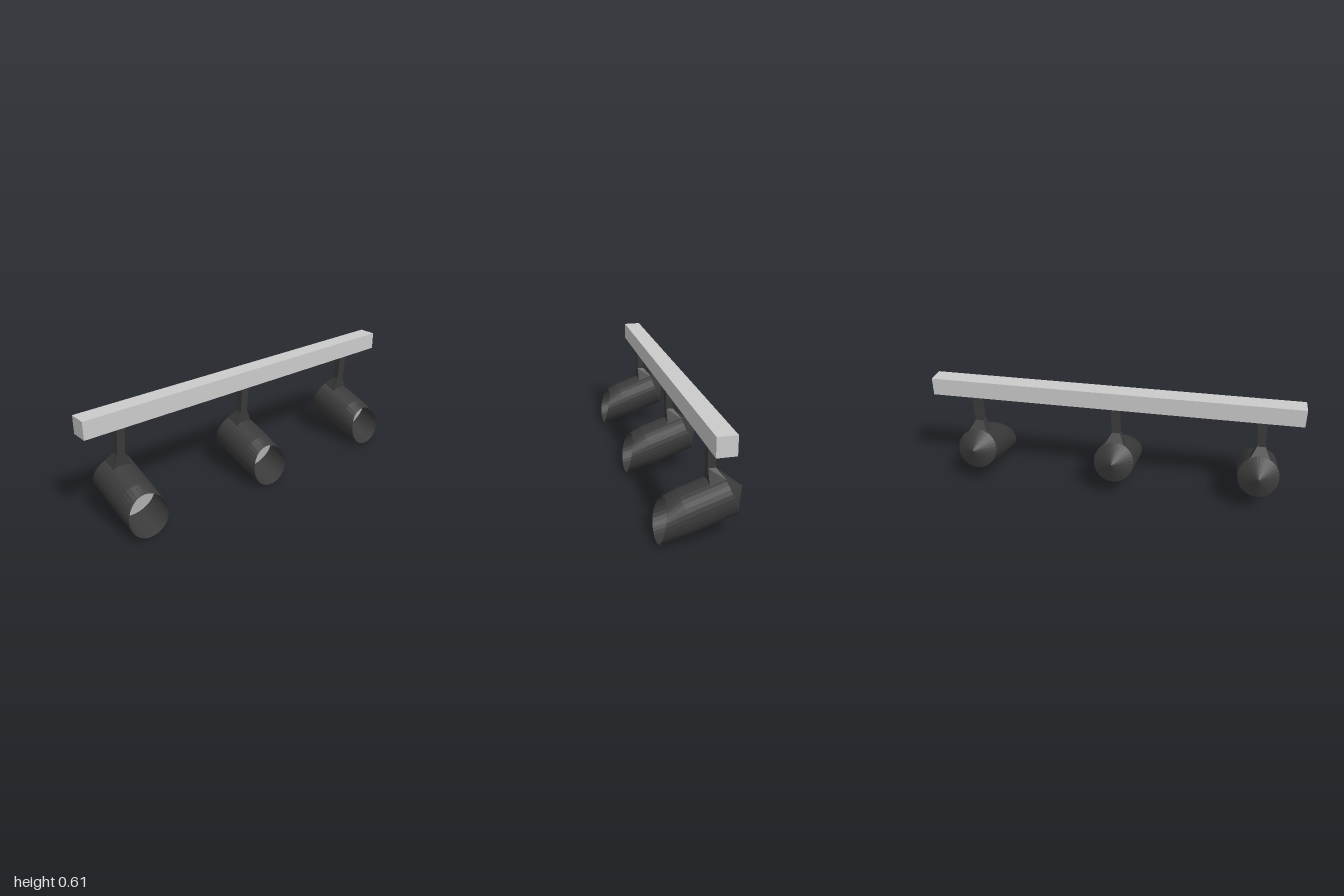
import * as THREE from 'three';

const SIDES = 32;
const RADIUS = 0.11;
const grey = new THREE.MeshStandardMaterial({ color: 0xcccccc });
const dark = new THREE.MeshStandardMaterial({ color: 0x3a3a3a, flatShading: true, side: THREE.DoubleSide });

// Skin a list of closed rings (arrays of Vector3 of equal length)
function loft(rings) {
  const n = rings[0].length;
  const points = [];
  for (let i = 0; i < rings.length - 1; i++) {
    for (let j = 0; j < n; j++) {
      const k = (j + 1) % n;
      const a = rings[i][j], b = rings[i + 1][j], c = rings[i + 1][k], d = rings[i][k];
      points.push(a, b, c, a, c, d);
    }
  }
  const geometry = new THREE.BufferGeometry().setFromPoints(points);
  geometry.computeVertexNormals();
  return geometry;
}

// Ring around the lamp axis (local x)
function ring(place) {
  return Array.from({ length: SIDES }, (_, j) => {
    const t = (j / SIDES) * Math.PI * 2;
    return place(Math.sin(t), Math.cos(t));
  });
}
const circle = (x, r) => ring((s, c) => new THREE.Vector3(x, r * s, r * c));

// Rectangular ring; yLeft and yRight let it slant
function rect(x0, x1, yLeft, yRight, z, half) {
  return [
    new THREE.Vector3(x0, yLeft, z + half), new THREE.Vector3(x1, yRight, z + half),
    new THREE.Vector3(x1, yRight, z - half), new THREE.Vector3(x0, yLeft, z - half),
  ];
}

function add(parent, name, geometry, material) {
  const mesh = new THREE.Mesh(geometry, material);
  mesh.name = name;
  parent.add(mesh);
  return mesh;
}

function createLamp() {
  const lamp = new THREE.Group();
  lamp.name = 'spotlight';

  // Stem leaning slightly, flaring into a foot on the shade
  add(lamp, 'stem', loft([
    rect(-0.063, -0.024, 0.513, 0.513, -0.008, 0.024),
    rect(-0.068, -0.031, 0.361, 0.361, 0, 0.022),
    rect(-0.112, -0.032, 0.307, 0.278, 0, 0.054),
  ]), dark);

  const head = new THREE.Group();
  head.name = 'lampHead';
  head.position.set(-0.139, 0.2185, 0);
  head.rotation.z = -0.328;
  lamp.add(head);

  // Conical back, straight barrel and obliquely cut mouth
  const mouth = ring((s, c) => new THREE.Vector3(
    0.341 - 0.056 * s + 0.008 * c * c, 0.002 + 0.0955 * s, RADIUS * c));
  add(head, 'backCone', loft([circle(-0.073, 0.0005), circle(0, RADIUS)]), dark);
  add(head, 'shade', loft([circle(0, RADIUS), circle(0.222, RADIUS), mouth]), dark);

  // Light disc recessed inside the mouth
  const disc = add(head, 'lightDisc', new THREE.CircleGeometry(RADIUS - 0.001, SIDES), grey);
  disc.rotation.y = Math.PI / 2;
  disc.position.x = 0.222;
  return lamp;
}

export function createModel() {
  const model = new THREE.Group();
  model.name = 'trackLight';

  // Ceiling rail
  const rail = add(model, 'rail', new THREE.BoxGeometry(0.096, 0.096, 2), grey);
  rail.position.set(-0.041, 0.56, 0);

  // Three identical lamps
  for (const z of [0.797, 0.019, -0.76]) {
    const lamp = createLamp();
    lamp.position.z = z;
    model.add(lamp);
  }
  return model;
}
